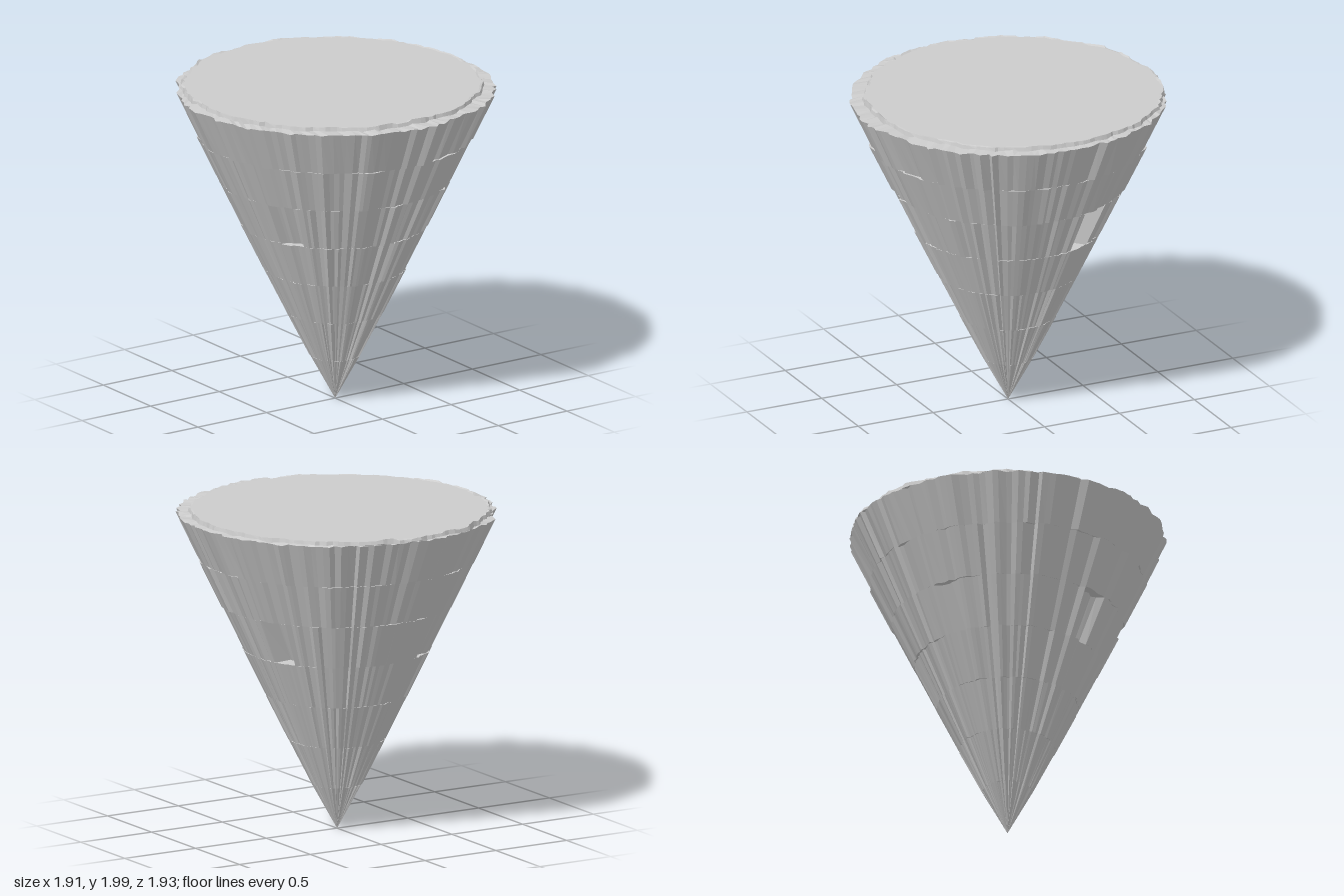
import * as THREE from 'three';

const N = 150;            // columns around the cone
const ROWS = 7;           // strata from tip to rim
const RIM_Y = 1.955;

// Repeatable noise in the range -1..1
function noise(a, b, c = 0) {
  const s = Math.sin(a * 127.1 + b * 311.7 + c * 74.7) * 43758.5453;
  return (s - Math.floor(s)) * 2 - 1;
}

const angle = (i) => ((i + 0.32 * noise(i, 3)) / N) * Math.PI * 2;
const point = (i, r, y, dz = 0) =>
  new THREE.Vector3(r * Math.cos(angle(i)), y, r * Math.sin(angle(i)) + dz);
const ring = (fn) => Array.from({ length: N }, (_, i) => fn(i));

// Chips broken out of the fifth stratum: start angle, end angle (degrees), depth
const CHIPS = [[330, 343, 0.12], [146, 158, 0.05], [231, 241, 0.035]];
function chipDepth(i, row) {
  if (row !== 4) return 0;
  const deg = (angle(i) * 180) / Math.PI;
  const chip = CHIPS.find(([a, b]) => deg > a && deg < b);
  return chip ? chip[2] : 0;
}

// Ridged radius: fluting that runs the full height plus splinters that differ per stratum
function rockRadius(i, y, row) {
  const t = y / RIM_Y;
  const flute = 0.011 * noise(i, 1) + 0.009 * noise(Math.floor(i / 4), 2);
  const splinter = 0.007 * noise(i, 5, row) + 0.008 * noise(Math.floor((i + row * 2) / 5), 7, row);
  const grow = Math.min(1, 0.25 + 0.85 * t);
  return 0.95 * Math.pow(t, 0.96) + (flute + splinter) * grow - chipDepth(i, row);
}

// Joins successive rings into a faceted surface
function skin(name, rings) {
  const positions = rings.flat().flatMap((p) => [p.x, p.y, p.z]);
  const index = [];
  for (let k = 0; k < rings.length - 1; k++) {
    for (let i = 0; i < N; i++) {
      const j = (i + 1) % N;
      const a = k * N + i, b = k * N + j, c = a + N, d = b + N;
      index.push(a, c, d, a, d, b);
    }
  }
  const indexed = new THREE.BufferGeometry();
  indexed.setAttribute('position', new THREE.Float32BufferAttribute(positions, 3));
  indexed.setIndex(index);
  const geometry = indexed.toNonIndexed();
  geometry.computeVertexNormals();
  const material = new THREE.MeshStandardMaterial({
    color: 0xcccccc, flatShading: true, side: THREE.DoubleSide,
  });
  const mesh = new THREE.Mesh(geometry, material);
  mesh.name = name;
  return mesh;
}

export function createModel() {
  const group = new THREE.Group();
  group.name = 'invertedRockCone';

  // Splintered cone: each stratum has its own rings, leaving small ledges between them
  const body = [ring((i) => point(i, 0, 0))];
  for (let row = 0; row < ROWS; row++) {
    const y0 = (RIM_Y * row) / ROWS, y1 = (RIM_Y * (row + 1)) / ROWS;
    if (row > 0) body.push(ring((i) => point(i, rockRadius(i, y0, row), y0)));
    body.push(ring((i) => point(i, rockRadius(i, y1, row),
      row < ROWS - 1 ? y1 : y1 + 0.005 * noise(i, 11))));
  }
  group.add(skin('rockCone', body));

  // Narrow ragged ledge, then a small step up to the plateau set slightly back
  const innerRadius = (i) => 0.893 + 0.008 * noise(i, 13) + 0.012 * noise(Math.floor(i / 4), 14);
  const stepY = (i) => 1.982 + 0.007 * noise(Math.floor(i / 3), 17);
  const outer = body[body.length - 1];
  const stepFoot = ring((i) => point(i, innerRadius(i) + 0.006, 1.958 + 0.006 * noise(i, 16), -0.035));
  const stepTop = ring((i) => point(i, innerRadius(i), stepY(i), -0.035));
  group.add(skin('brokenRim', [outer, stepFoot, stepTop]));

  // Flat top
  const edge = ring((i) => point(i, innerRadius(i) - 0.012, 1.98, -0.035));
  const centre = ring((i) => point(i, 0, 1.98, -0.035));
  group.add(skin('flatTop', [stepTop, edge, centre]));

  return group;
}
